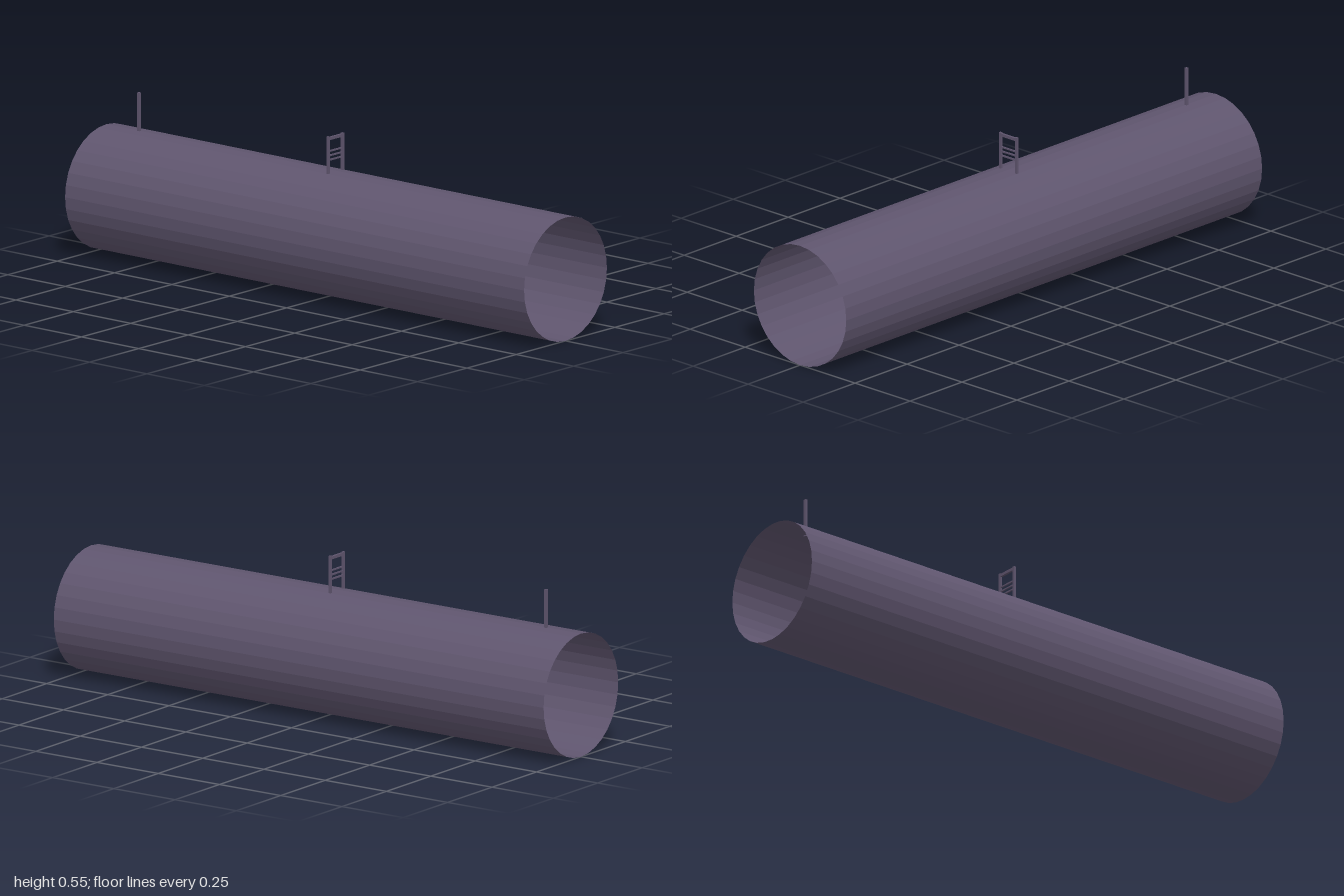
import * as THREE from 'three';

export function createModel() {
  const group = new THREE.Group();
  const shellMaterial = new THREE.MeshStandardMaterial({ color: 0x5f556e, flatShading: true, side: THREE.DoubleSide });
  const barMaterial = new THREE.MeshStandardMaterial({ color: 0x5f556e, flatShading: true });
  const R = 0.21;

  function add(name, geometry, x, y, z, material = barMaterial) {
    const mesh = new THREE.Mesh(geometry, material);
    mesh.name = name;
    mesh.position.set(x, y, z);
    group.add(mesh);
    return mesh;
  }

  // open 32-sided tube lying along x
  const tube = new THREE.CylinderGeometry(R, R, 2, 32, 1, true).rotateZ(Math.PI / 2);
  add('tubeShell', tube, 0, R, 0, shellMaterial);

  // front mast near the right end
  add('mast', new THREE.BoxGeometry(0.009, 0.134, 0.009), -0.858, 0.483, 0);

  // ladder-like rear frame on the middle of the tube
  const frameX = -0.003;
  for (const side of [-1, 1]) {
    add('framePost', new THREE.BoxGeometry(0.008, 0.127, 0.009), frameX, 0.479, side * 0.0365);
  }
  add('frameTopRail', new THREE.BoxGeometry(0.008, 0.01, 0.07), frameX, 0.535, 0);
  for (const y of [0.462, 0.477, 0.492]) {
    add('frameRung', new THREE.BoxGeometry(0.005, 0.005, 0.07), frameX, y, 0);
  }
  return group;
}
